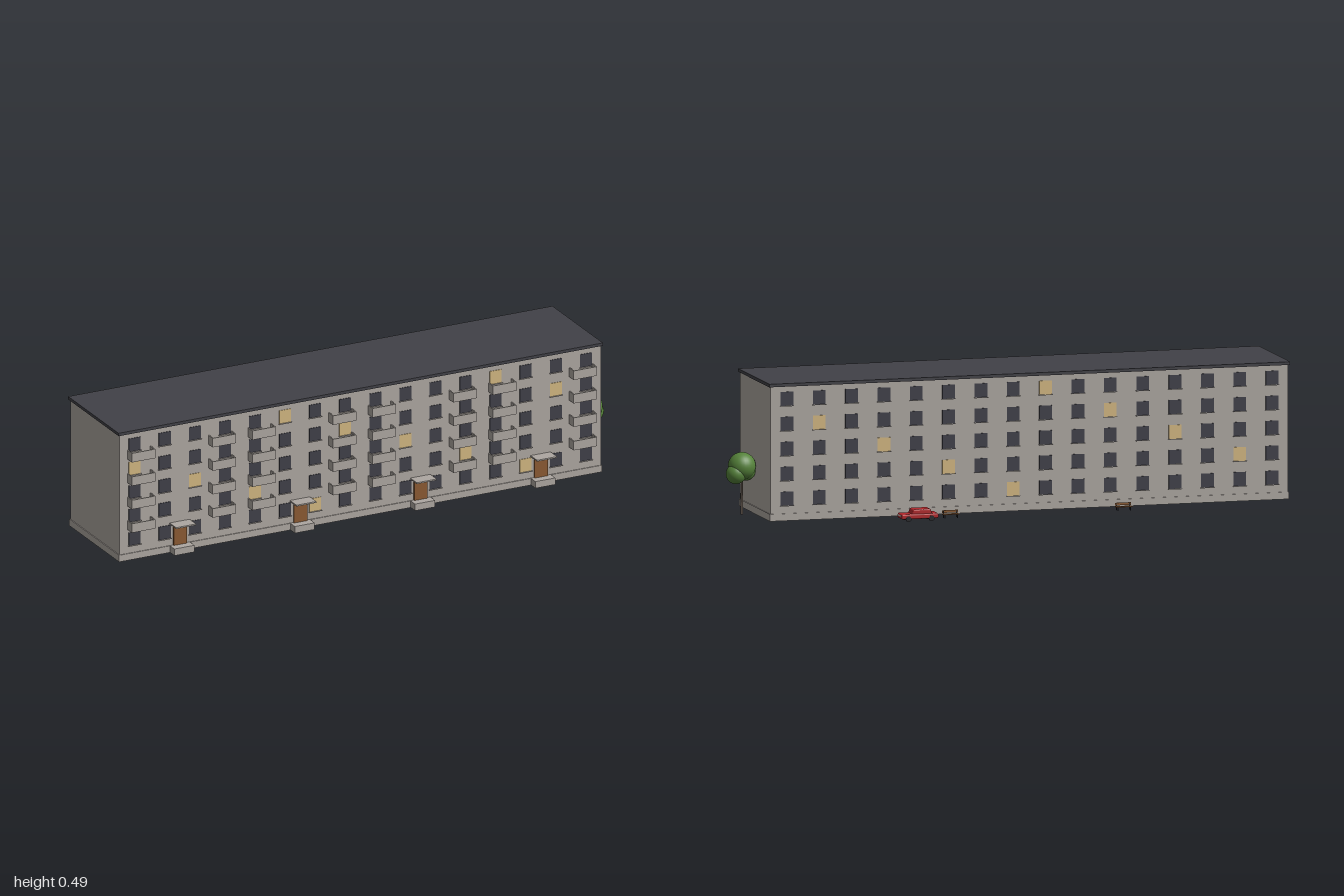
import * as THREE from 'three';
import { RoundedBoxGeometry } from 'three/addons/geometries/RoundedBoxGeometry.js';

const mat = (name, color) => new THREE.MeshStandardMaterial({ name, color });

export function createModel() {
  const concrete = mat('concrete', 0xada7a1);
  const roofing = mat('roofing', 0x414147);
  const glass = mat('darkGlass', 0x3f3f48);
  const litGlass = mat('litGlass', 0xd2b781);
  const wood = mat('wood', 0x8a5a32);
  const bark = mat('bark', 0x62564d);
  const leaves = mat('leaves', 0x56833b);
  const red = mat('redPaint', 0xb0262a);
  const rubber = mat('rubber', 0x26262a);
  const chrome = mat('chrome', 0xc9c4bc);

  const model = new THREE.Group();
  model.name = 'apartmentBlock';

  const group = (name, parent = model) => {
    const g = new THREE.Group();
    g.name = name;
    parent.add(g);
    return g;
  };
  const add = (parent, name, geometry, material, x, y, z) => {
    const m = new THREE.Mesh(geometry, material);
    m.name = name;
    m.position.set(x, y, z);
    parent.add(m);
    return m;
  };
  // Box given by its lower and upper corner
  const box = (parent, name, material, [x0, y0, z0], [x1, y1, z1]) =>
    add(parent, name, new THREE.BoxGeometry(x1 - x0, y1 - y0, z1 - z0), material,
      (x0 + x1) / 2, (y0 + y1) / 2, (z0 + z1) / 2);

  const FRONT = 0.243, BACK = -0.1375;
  const LEFT = -0.993, RIGHT = 0.891;
  const FLOOR = 0.0882, PLINTH = 0.025;
  const MID = (LEFT + RIGHT) / 2;
  const SECTION = (RIGHT - LEFT) / 4;
  const BAY = SECTION / 4;

  // Main volume
  const building = group('building');
  box(building, 'plinth', concrete, [LEFT - 0.003, 0, BACK - 0.003], [RIGHT + 0.003, PLINTH, FRONT + 0.003]);
  box(building, 'walls', concrete, [LEFT, PLINTH, BACK], [RIGHT, 0.474, FRONT]);
  box(building, 'roof', roofing, [LEFT - 0.006, 0.474, BACK - 0.0055], [RIGHT + 0.006, 0.485, FRONT + 0.005]);

  // Windows with sills: five floors of sixteen bays on both long sides
  const windows = group('windows');
  const addWindow = (x, y, wall, side, lit) => {
    const w = group('window', windows);
    add(w, 'pane', new THREE.BoxGeometry(0.046, 0.05, 0.004), lit ? litGlass : glass, x, y, wall);
    add(w, 'sill', new THREE.BoxGeometry(0.05, 0.002, 0.007), concrete, x, y - 0.025, wall + side * 0.0035);
  };
  for (let floor = 0; floor < 5; floor++) {
    for (let col = 0; col < 16; col++) {
      const x = MID + (col - 7.5) * BAY;
      const y = 0.0775 + floor * FLOOR;
      addWindow(x, y, FRONT, 1, (col + 2 * floor) % 7 === 6);
      addWindow(x, y, BACK, -1, (15 - col + 2 * floor) % 9 === 7);
    }
  }

  // Open balcony: slab and three parapet panels
  const addBalcony = (parent, x, y) => {
    const b = group('balcony', parent);
    const h = 0.046, t = 0.004, z = 0.277, top = y + 0.034;
    box(b, 'slab', concrete, [x - h, y, FRONT], [x + h, y + 0.006, z]);
    box(b, 'frontParapet', concrete, [x - h, y + 0.006, z - t], [x + h, top, z]);
    for (const s of [-1, 1]) {
      const a = x + s * h, c = a - s * t;
      box(b, 'sideParapet', concrete, [Math.min(a, c), y + 0.006, FRONT], [Math.max(a, c), top, z - t]);
    }
  };

  // Four stairwell sections, each with an entrance and two balcony stacks
  for (let i = 0; i < 4; i++) {
    const x = MID + (i - 1.5) * SECTION;
    const section = group('section');
    box(section, 'entranceStep', concrete, [x - 0.039, 0, FRONT], [x + 0.039, PLINTH, 0.28]);
    box(section, 'entranceDoor', wood, [x - 0.026, PLINTH, FRONT], [x + 0.026, 0.1, FRONT + 0.006]);
    box(section, 'entranceCanopy', concrete, [x - 0.039, 0.105, FRONT], [x + 0.039, 0.11, 0.293]);
    for (const s of [-1, 1])
      for (let floor = 1; floor < 5; floor++) addBalcony(section, x + s * 0.158, 0.026 + floor * FLOOR);
  }

  // Tree
  const tree = group('tree');
  add(tree, 'trunk', new THREE.CylinderGeometry(0.003, 0.0048, 0.15, 12), bark, 0.94, 0.075, 0.053);
  const crowns = [[0.94, 0.17, 0.053, 0.049], [0.964, 0.145, 0.043, 0.036], [0.922, 0.15, 0.066, 0.034]];
  for (const [x, y, z, r] of crowns)
    add(tree, 'crown', new THREE.SphereGeometry(r, 28, 18), leaves, x, y, z);

  // Parked car
  const car = group('car');
  car.position.set(0.391, 0, -0.2625);
  add(car, 'carBody', new RoundedBoxGeometry(0.134, 0.018, 0.056, 3, 0.005), red, 0, 0.018, 0);
  const cabin = new RoundedBoxGeometry(0.078, 0.021, 0.05, 3, 0.005);
  const p = cabin.attributes.position;
  // Slope the cabin ends inward towards the top
  for (let i = 0; i < p.count; i++) p.setX(i, p.getX(i) * (0.9 - p.getY(i) * 9));
  cabin.computeVertexNormals();
  add(car, 'carCabin', cabin, red, -0.008, 0.0325, 0);
  for (const s of [-1, 1]) {
    add(car, 'bumperTrim', new THREE.BoxGeometry(0.003, 0.005, 0.046), chrome, s * 0.0665, 0.0205, 0);
    for (const e of [-1, 1]) {
      const wheel = add(car, 'wheel', new THREE.CylinderGeometry(0.01, 0.01, 0.007, 20), rubber, e * 0.042, 0.01, s * 0.0252);
      wheel.rotation.x = Math.PI / 2;
    }
  }

  // Benches with their backs towards the building
  for (const x of [-0.366, 0.264]) {
    const bench = group('bench');
    bench.position.set(x, 0, 0);
    box(bench, 'benchSeat', wood, [-0.029, 0.012, -0.244], [0.029, 0.0145, -0.225]);
    box(bench, 'benchBack', wood, [-0.029, 0.017, -0.2255], [0.029, 0.026, -0.223]);
    for (const s of [-1, 1]) {
      box(bench, 'benchRearLeg', rubber, [s * 0.023 - 0.0015, 0, -0.227], [s * 0.023 + 0.0015, 0.024, -0.2245]);
      box(bench, 'benchFrontLeg', rubber, [s * 0.023 - 0.0015, 0, -0.243], [s * 0.023 + 0.0015, 0.012, -0.2405]);
    }
  }
  return model;
}
